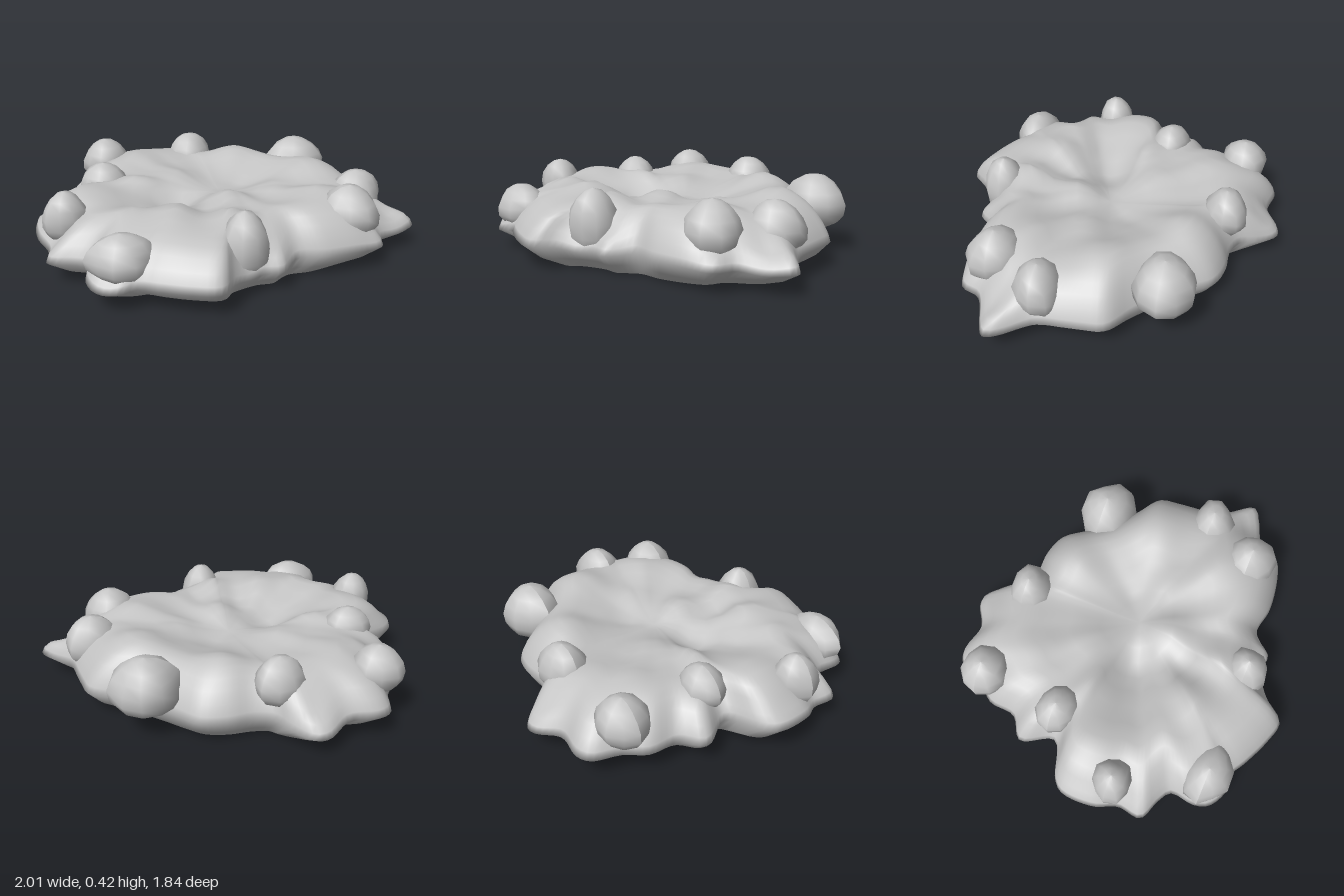
import * as THREE from 'three';

// rim outline as x, z pairs
const RIM = [
  0.85, 0, 0.87, 0.15, 1.0, 0.35, 0.93, 0.40, 0.76, 0.48, 0.72, 0.58, 0.62, 0.62, 0.4, 0.645,
  0.25, 0.62, 0.2, 0.66, 0.14, 0.73, 0.06, 0.72, 0, 0.74, -0.12, 0.82, -0.2, 0.91, -0.33, 0.88,
  -0.48, 0.81, -0.57, 0.76, -0.65, 0.77, -0.76, 0.71, -0.79, 0.63, -0.78, 0.5, -0.85, 0.45, -0.96, 0.4,
  -0.95, 0.27, -1.0, 0.15, -1.0, -0.03, -0.95, -0.09, -0.76, -0.18, -0.83, -0.36, -0.72, -0.45, -0.70, -0.6,
  -0.62, -0.7, -0.56, -0.84, -0.49, -0.87, -0.33, -0.845, -0.2, -0.92, -0.14, -0.92, -0.05, -0.82, 0, -0.73,
  0.1, -0.69, 0.23, -0.69, 0.36, -0.65, 0.44, -0.55, 0.53, -0.43, 0.68, -0.3, 0.82, -0.2, 0.84, -0.1,
];

// soft lumps and hollows on the top: x, z, radius, height
const LUMPS = [
  [0, 0.18, 0.12, 0.07], [-0.32, 0.38, 0.13, 0.07], [-0.72, 0.04, 0.15, 0.04], [-0.35, -0.5, 0.14, 0.04],
  [-0.22, -0.2, 0.14, 0.05], [0.42, 0.3, 0.16, 0.05], [0.5, -0.12, 0.16, 0.06], [0.2, -0.42, 0.14, 0.05],
  [-0.08, 0.47, 0.09, 0.05], [0.26, 0.08, 0.1, 0.04], [-0.55, 0.38, 0.1, 0.04], [-0.42, -0.1, 0.1, 0.04],
  [-0.28, 0.08, 0.12, -0.07], [-0.5, 0.17, 0.1, -0.03], [-0.17, 0.3, 0.07, -0.03], [0.13, -0.1, 0.08, -0.02],
  [0.84, 0.34, 0.14, -0.10], [0.12, 0.66, 0.09, -0.07], [-0.04, 0.72, 0.08, -0.07], [-0.16, -0.86, 0.13, -0.08],
  [-0.7, 0.72, 0.1, -0.07], [0.66, 0.53, 0.08, -0.05], [-0.92, 0.3, 0.12, -0.05],
];

// upper surface: fraction of rim radius, height
const PROFILE = [[1, 0.125], [0.985, 0.165], [0.95, 0.215], [0.9, 0.265], [0.84, 0.30], [0.77, 0.32],
  [0.69, 0.325], [0.6, 0.315], [0.51, 0.30], [0.42, 0.29], [0.33, 0.28], [0.24, 0.27], [0.16, 0.265], [0.08, 0.26]];

// boulders: x, y, z, half sizes x, y, z
const BOULDERS = [
  [-0.57, 0.28, -0.66, 0.14, 0.13, 0.13],
  [-0.05, 0.29, -0.63, 0.14, 0.13, 0.12],
  [0.57, 0.265, -0.43, 0.18, 0.15, 0.165],
  [-0.62, 0.30, -0.21, 0.13, 0.11, 0.105],
  [0.73, 0.25, 0.16, 0.15, 0.14, 0.13],
  [-0.85, 0.28, 0.20, 0.12, 0.135, 0.11],
  [0.58, 0.27, 0.44, 0.15, 0.145, 0.14],
  [-0.62, 0.235, 0.64, 0.165, 0.12, 0.13],
  [-0.03, 0.235, 0.635, 0.13, 0.175, 0.125],
];

function lumpHeight(x, z) {
  return LUMPS.reduce((sum, [lx, lz, r, h]) =>
    sum + h * Math.exp(-((x - lx) ** 2 + (z - lz) ** 2) / (r * r)), 0);
}

// lumpy slab: rings run from the flat foot up over the rim to the centre
function slabGeometries() {
  const points = [];
  for (let i = 0; i < RIM.length; i += 2) points.push(new THREE.Vector3(RIM[i], 0, RIM[i + 1]));
  const rim = new THREE.CatmullRomCurve3(points, true, 'centripetal').getSpacedPoints(192).slice(0, 192);
  const n = rim.length;
  const pos = [], index = [];

  const foot = rim.map((p) => {
    const r = Math.hypot(p.x, p.z);
    return p.clone().multiplyScalar((0.25 + 0.52 * r) / r);
  });
  foot.forEach((p) => pos.push(p.x, 0, p.z));
  rim.forEach((p, i) => {
    const q = p.clone().lerp(foot[i], 0.42);
    pos.push(q.x, 0.055, q.z);
  });
  for (const [k, h] of PROFILE) {
    for (const p of rim) {
      // inner rings lose the jagged outline little by little
      const r = Math.hypot(p.x, p.z);
      const s = k * THREE.MathUtils.lerp(0.84 / r, 1, Math.min(1, k + 0.2));
      const x = p.x * s, z = p.z * s;
      const a = Math.atan2(z, x);
      // folds run down the flanks, lumps cover the top
      const fold = 0.012 * Math.sin(11 * a + 4 * k) * Math.sin(Math.PI * k) * k * k;
      const rise = lumpHeight(x, z) * Math.min(1, 0.4 + (1 - k) * 5);
      const west = k > 0.97 && x < -0.7 ? 0.03 * Math.exp(-z * z * 12) : 0;
      pos.push(x, h + rise + fold + west, z);
    }
  }
  const rings = PROFILE.length + 2;
  for (let j = 0; j < rings - 1; j++) {
    for (let i = 0; i < n; i++) {
      const a = j * n + i, b = j * n + (i + 1) % n;
      index.push(a, a + n, b, b, a + n, b + n);
    }
  }
  const top = pos.length / 3;
  pos.push(0, 0.25 + lumpHeight(0, 0), 0);
  for (let i = 0; i < n; i++) index.push((rings - 1) * n + i, top, (rings - 1) * n + (i + 1) % n);

  const slab = new THREE.BufferGeometry();
  slab.setAttribute('position', new THREE.Float32BufferAttribute(pos, 3));
  slab.setIndex(index);
  slab.computeVertexNormals();

  // flat underside with its own hard edge
  const shape = new THREE.Shape(foot.map((p) => new THREE.Vector2(p.x, p.z)));
  const under = new THREE.ShapeGeometry(shape).rotateX(Math.PI / 2);
  return [slab, under];
}

// rounded, slightly angular stone on few sides
function boulderGeometry(sx, sy, sz, seed) {
  const geo = new THREE.SphereGeometry(1, 10, 8);
  const p = geo.attributes.position, v = new THREE.Vector3();
  for (let i = 0; i < p.count; i++) {
    v.fromBufferAttribute(p, i);
    const w = 1 + 0.06 * Math.sin(3 * v.x + 2.5 * v.z + seed) + 0.06 * Math.sin(4 * v.z - 2 * v.y + seed * 2.3);
    // narrower towards the crown
    const taper = 1 - 0.14 * v.y;
    p.setXYZ(i, v.x * w * taper * sx, v.y * sy, v.z * w * taper * sz);
  }
  geo.computeVertexNormals();
  return geo;
}

export function createModel() {
  const group = new THREE.Group();
  const stone = new THREE.MeshStandardMaterial({ color: 0xc4c4c4 });
  stone.name = 'stone grey';

  const add = (geo, name) => {
    const mesh = new THREE.Mesh(geo, stone);
    mesh.name = name;
    group.add(mesh);
    return mesh;
  };

  const [slab, under] = slabGeometries();
  add(slab, 'slab');
  add(under, 'underside');

  BOULDERS.forEach(([x, y, z, sx, sy, sz], i) => {
    add(boulderGeometry(sx, sy, sz, i * 1.7), 'boulder' + (i + 1)).position.set(x, y, z);
  });
  return group;
}
